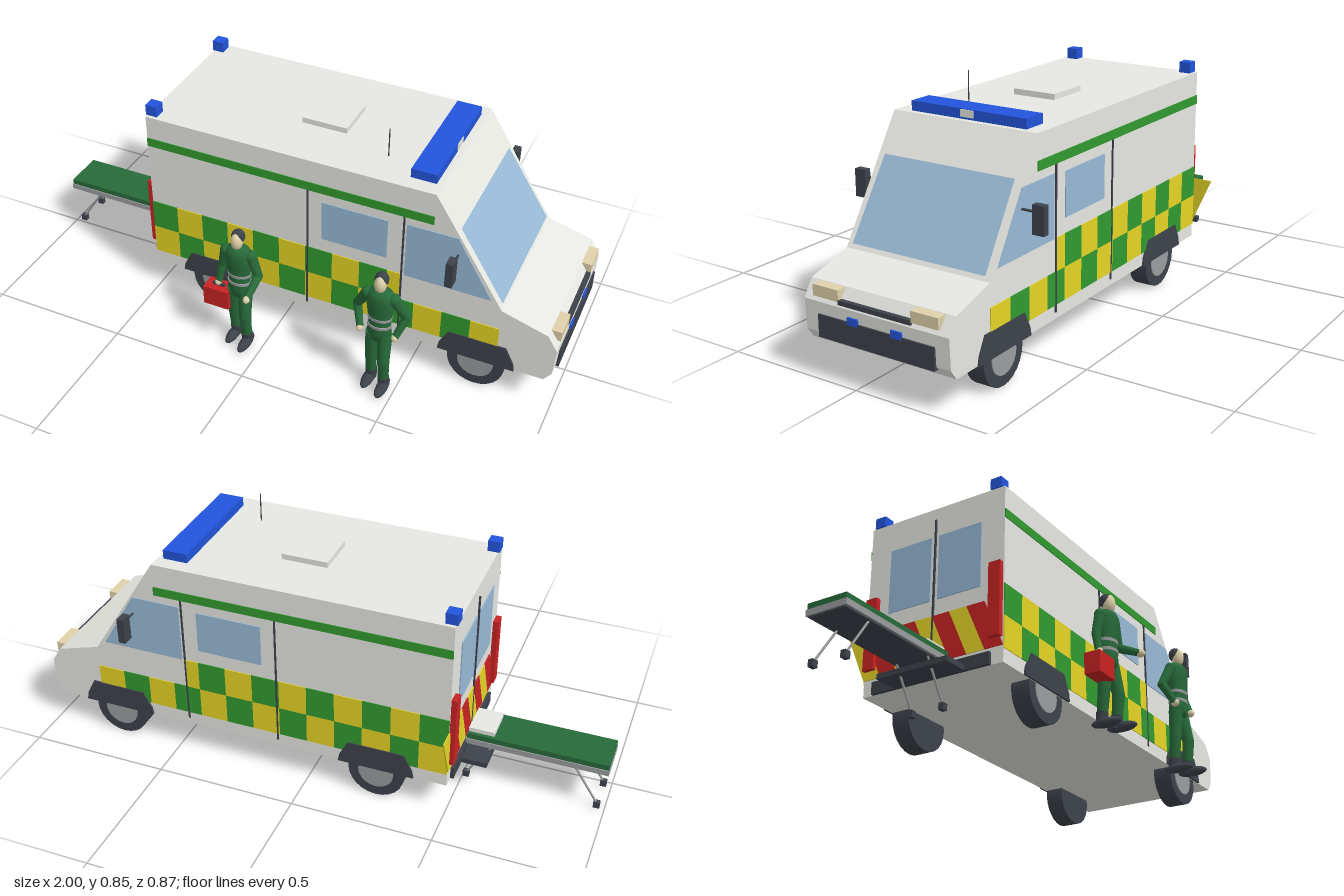
import * as THREE from 'three';

const mat = (name, color) => Object.assign(new THREE.MeshStandardMaterial({ color }), { name });
const M = {
  white: mat('white paint', 0xf0f0eb), green: mat('livery green', 0x329a30), yellow: mat('livery yellow', 0xe6d526),
  glass: mat('glass', 0x98bad6), blue: mat('blue lamp', 0x2255dc), red: mat('red', 0xc82222),
  dark: mat('charcoal', 0x3d424a), uniform: mat('dark green cloth', 0x276a39),
  cream: mat('cream', 0xe0d2ab), grey: mat('grey metal', 0x9a9c9e),
};
const ZC = -0.0785, HALF = 0.2735; // van centre line and half width

function add(parent, name, geo, material) {
  const m = new THREE.Mesh(geo, material);
  m.name = name;
  parent.add(m);
  return m;
}

// Box given by its extents
function box(parent, name, material, x0, x1, y0, y1, z0, z1) {
  const m = add(parent, name, new THREE.BoxGeometry(x1 - x0, y1 - y0, z1 - z0), material);
  m.position.set((x0 + x1) / 2, (y0 + y1) / 2, (z0 + z1) / 2);
  return m;
}

const extrude = (pts, depth) => new THREE.ExtrudeGeometry(
  new THREE.Shape(pts.map(p => new THREE.Vector2(...p))), { depth, bevelEnabled: false });

// Thin outline plate on both flanks of the van
function flankPlate(parent, name, material, pts, thick = 0.003) {
  for (const s of [1, -1]) {
    const z = ZC + s * HALF - (s < 0 ? thick : 0);
    add(parent, name, extrude(pts, thick), material).position.z = z;
  }
}
const rect = (x0, x1, y0, y1) => [[x0, y0], [x1, y0], [x1, y1], [x0, y1]];

// Tapered rod between two points
function rod(parent, name, material, a, b, r1, r2 = r1, sides = 12) {
  const A = new THREE.Vector3(...a), B = new THREE.Vector3(...b), d = B.clone().sub(A);
  const m = add(parent, name, new THREE.CylinderGeometry(r2, r1, d.length(), sides), material);
  m.position.copy(A).add(B).multiplyScalar(0.5);
  m.quaternion.setFromUnitVectors(new THREE.Vector3(0, 1, 0), d.normalize());
  return m;
}
function ball(parent, name, material, p, rx, ry = rx, rz = rx) {
  const m = add(parent, name, new THREE.SphereGeometry(1, 14, 10), material);
  m.position.set(...p);
  m.scale.set(rx, ry, rz);
  return m;
}

function makeVan() {
  const v = new THREE.Group();
  v.name = 'van';
  const body = [[-0.5, 0.117], [0.965, 0.117], [0.99, 0.152], [0.995, 0.253], [0.96, 0.308],
    [0.8, 0.355], [0.55, 0.745], [-0.5, 0.745]];
  add(v, 'body', extrude(body, HALF * 2), M.white).position.z = ZC - HALF;

  // Chequered flanks: the upper row stops at the cab door
  for (let row = 0; row < 2; row++) for (let i = 0; i < (row ? 10 : 13); i++) {
    const x = -0.5 + i * 0.1, end = row ? Math.min(x + 0.1, 0.45) : x + 0.1;
    flankPlate(v, 'chequer', (i + row) % 2 ? M.green : M.yellow,
      rect(x, end, row ? 0.277 : 0.165, row ? 0.388 : 0.277));
  }
  flankPlate(v, 'roofStripe', M.green, rect(-0.5, 0.55, 0.628, 0.66));
  flankPlate(v, 'sideWindow', M.glass, rect(0.16, 0.395, 0.44, 0.592));
  flankPlate(v, 'cabWindow', M.glass, [[0.46, 0.388], [0.762, 0.388], [0.635, 0.6], [0.46, 0.6]]);
  for (const x of [0.108, 0.45]) flankPlate(v, 'doorSeam', M.dark, rect(x - 0.003, x + 0.003, 0.14, 0.628), 0.004);

  // Windscreen lying just above the sloping front
  const ws = new THREE.BufferGeometry();
  ws.setAttribute('position', new THREE.Float32BufferAttribute([
    0.795, 0.37, 0.175, 0.795, 0.37, -0.333, 0.633, 0.622, -0.327, 0.633, 0.622, 0.17], 3));
  ws.setIndex([0, 1, 2, 0, 2, 3]);
  ws.computeVertexNormals();
  add(v, 'windscreen', ws, M.glass);

  // Wheels and arches
  for (const x of [-0.25, 0.73]) {
    flankPlate(v, 'wheelArch', M.dark, [[x - 0.135, 0.117], [x + 0.135, 0.117], [x + 0.13, 0.145],
      [x + 0.1, 0.203], [x - 0.1, 0.203], [x - 0.13, 0.145]], 0.007);
    for (const s of [1, -1]) {
      const zo = ZC + s * (HALF - 0.003), zi = ZC + s * (HALF - 0.07);
      rod(v, 'tyre', M.dark, [x, 0.1, zi], [x, 0.1, zo], 0.1, 0.1, 24);
      rod(v, 'hub', M.grey, [x, 0.1, zo], [x, 0.1, zo + s * 0.003], 0.063, 0.063, 20);
    }
  }

  // Nose
  box(v, 'bumper', M.dark, 0.96, 0.999, 0.14, 0.214, -0.3, 0.14);
  box(v, 'grille', M.dark, 0.95, 0.997, 0.26, 0.275, -0.215, 0.06);
  for (const s of [1, -1]) {
    const z = ZC + s * 0.187, b = ZC + s * 0.083;
    box(v, 'headlight', M.cream, 0.95, 0.996, 0.269, 0.306, z - 0.05, z + 0.05);
    box(v, 'grilleLamp', M.blue, 0.97, 1, 0.206, 0.23, b - 0.02, b + 0.02);
    // Mirrors and rear corner lamps
    const m = ZC + s * 0.341, c = ZC + s * 0.24, t = ZC + s * 0.247;
    rod(v, 'mirrorArm', M.dark, [0.638, 0.535, ZC + s * 0.265], [0.638, 0.535, m], 0.004);
    box(v, 'mirror', M.dark, 0.625, 0.65, 0.467, 0.56, m - 0.021, m + 0.021);
    box(v, 'cornerLamp', M.blue, -0.505, -0.463, 0.745, 0.784, c - 0.021, c + 0.021);
    box(v, 'tailLight', M.red, -0.519, -0.5, 0.205, 0.465, t - 0.022, t + 0.022);
    const w = ZC + s * 0.1;
    box(v, 'rearWindow', M.glass, -0.504, -0.5, 0.4, 0.635, w - 0.085, w + 0.085);
  }

  // Roof fittings
  box(v, 'lightBar', M.blue, 0.442, 0.53, 0.745, 0.778, -0.3, 0.14);
  box(v, 'lightBarCentre', M.white, 0.53, 0.533, 0.752, 0.776, -0.103, -0.053);
  box(v, 'roofVent', M.white, -0.003, 0.161, 0.745, 0.765, -0.16, 0);
  rod(v, 'antenna', M.dark, [0.335, 0.745, 0.06], [0.335, 0.85, 0.06], 0.002, 0.002, 6);

  // Slanted rear stripes
  const w = 2 * HALF / 8;
  for (let i = 0; i < 8; i++) {
    const z = ZC + HALF - i * w;
    const g = extrude([[z - w, 0.175], [z, 0.175], [z - 0.072, 0.342], [z - w - 0.072, 0.342]], 0.004);
    add(v, 'rearStripe', g.rotateY(-Math.PI / 2), i % 2 ? M.yellow : M.red).position.x = -0.5;
  }
  box(v, 'rearSeam', M.dark, -0.506, -0.5, 0.17, 0.7, ZC - 0.003, ZC + 0.003);
  box(v, 'rearBumper', M.dark, -0.512, -0.5, 0.117, 0.16, -0.31, 0.15);
  box(v, 'rearStep', M.dark, -0.6, -0.5, 0.117, 0.135, -0.217, 0.057);
  return v;
}

function makeStretcher() {
  const s = new THREE.Group();
  s.name = 'stretcher';
  box(s, 'frame', M.grey, -1, -0.506, 0.155, 0.175, -0.157, -0.003);
  box(s, 'tray', M.dark, -0.995, -0.51, 0.15, 0.155, -0.15, -0.01);
  box(s, 'mattress', M.uniform, -0.998, -0.51, 0.175, 0.195, -0.153, -0.007);
  box(s, 'pillow', M.white, -0.602, -0.512, 0.195, 0.211, -0.14, -0.02);
  for (const z of [-0.019, -0.139]) for (const [a, b] of [[-0.88, -0.972], [-0.6, -0.512]]) {
    rod(s, 'leg', M.grey, [a, 0.155, z], [b, 0.015, z], 0.004, 0.004, 8);
    box(s, 'foot', M.dark, b - 0.011, b + 0.011, 0, 0.023, z - 0.009, z + 0.009);
  }
  return s;
}

// Standing figure; each arm is [shoulder, elbow, hand]
function makePerson(name, x, arms) {
  const p = new THREE.Group();
  p.name = name;
  p.position.set(x, 0, 0.332);
  const prof = [[0, 0.21], [0.036, 0.215], [0.043, 0.245], [0.039, 0.29], [0.046, 0.35], [0.052, 0.395],
    [0.04, 0.415], [0.017, 0.428], [0, 0.43]].map(q => new THREE.Vector2(...q));
  add(p, 'torso', new THREE.LatheGeometry(prof, 16), M.uniform).scale.z = 0.72;
  for (const y of [0.275, 0.308]) {
    const b = add(p, 'belt', new THREE.CylinderGeometry(0.0435, 0.0425, 0.011, 16), M.grey);
    b.position.y = y;
    b.scale.z = 0.74;
  }
  rod(p, 'neck', M.cream, [0, 0.415, 0], [0, 0.44, 0.004], 0.014);
  ball(p, 'head', M.cream, [0, 0.451, 0.008], 0.021, 0.034, 0.023);
  ball(p, 'hair', M.dark, [0, 0.464, -0.002], 0.024, 0.027, 0.024);
  for (const s of [1, -1]) {
    const z = s * 0.012, fx = s * 0.027;
    rod(p, 'thigh', M.uniform, [s * 0.021, 0.235, 0], [fx, 0.13, 0.008 + z], 0.026, 0.021);
    rod(p, 'shin', M.uniform, [fx, 0.135, 0.008 + z], [fx, 0.045, z], 0.021, 0.018);
    rod(p, 'bootShaft', M.dark, [fx, 0.01, z - 0.004], [fx, 0.055, z], 0.019, 0.02);
    ball(p, 'boot', M.dark, [s * 0.03, 0.017, z + 0.016], 0.02, 0.017, 0.055);
  }
  for (const [a, b, c] of arms) {
    ball(p, 'shoulder', M.uniform, a, 0.021);
    rod(p, 'upperArm', M.uniform, a, b, 0.02, 0.016);
    ball(p, 'elbow', M.uniform, b, 0.0165);
    rod(p, 'forearm', M.uniform, b, c, 0.016, 0.012);
    ball(p, 'hand', M.cream, c, 0.012, 0.014, 0.016);
  }
  return p;
}

export function createModel() {
  const g = new THREE.Group();
  g.name = 'ambulanceScene';
  g.add(makeVan(), makeStretcher());

  // One medic carries a bag, the other has hands on hips
  const carrier = makePerson('medicWithBag', -0.085, [
    [[0.047, 0.395, 0], [0.072, 0.318, 0], [0.07, 0.278, 0.085]],
    [[-0.047, 0.395, 0], [-0.066, 0.32, -0.006], [-0.078, 0.247, 0.008]]]);
  box(carrier, 'bag', M.red, -0.125, -0.03, 0.155, 0.23, -0.02, 0.038).position.x = -0.077;
  box(carrier, 'bagHandle', M.dark, -0.1, -0.055, 0.23, 0.24, 0.003, 0.013);
  const waiting = makePerson('medicWaiting', 0.433, [1, -1].map(s =>
    [[s * 0.047, 0.395, 0], [s * 0.087, 0.32, -0.018], [s * 0.062, 0.25, 0.018]]));
  g.add(carrier, waiting);
  return g;
}
